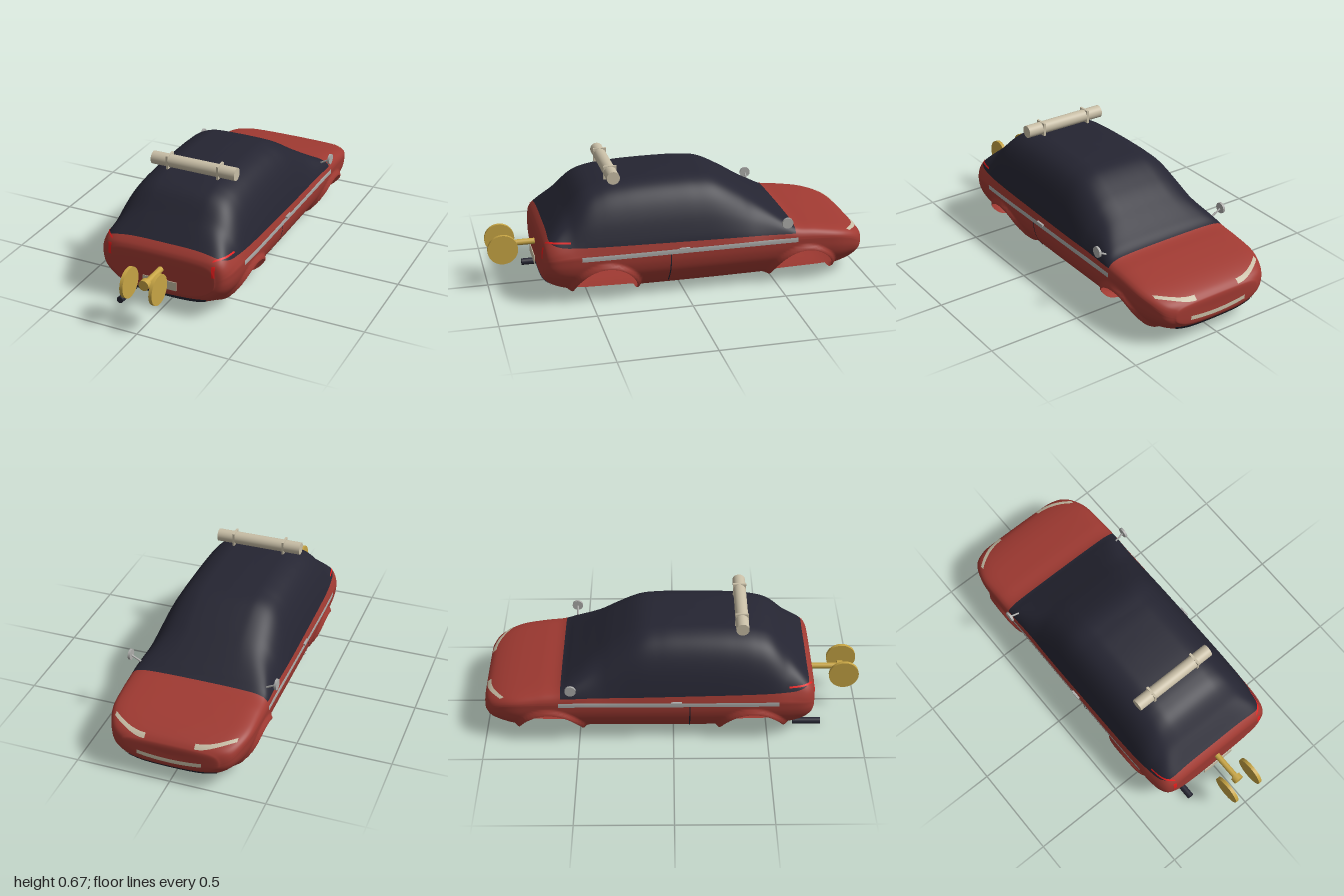
import * as THREE from 'three';

const mat = (name, color, side = THREE.FrontSide) => {
  const m = new THREE.MeshStandardMaterial({ color, side });
  m.name = name;
  return m;
};
const V = (x, y, z = 0) => new THREE.Vector3(x, y, z);
const spline = (pts) => new THREE.CatmullRomCurve3(pts, false, 'catmullrom', 0.5);
const smooth = THREE.MathUtils.smoothstep;

// Stations along the car, nose to tail: z, half width, bottom, waist, top
const STATIONS = [
  [-1, 0, 0.17, 0.17, 0.17], [-1, 0.22, 0.12, 0.17, 0.215], [-0.99, 0.27, 0.095, 0.18, 0.235],
  [-0.96, 0.315, 0.065, 0.2, 0.257], [-0.9, 0.347, 0.035, 0.23, 0.28], [-0.82, 0.368, 0.016, 0.25, 0.3],
  [-0.7, 0.374, 0.012, 0.258, 0.322], [-0.6, 0.376, 0.01, 0.262, 0.337], [-0.53, 0.376, 0.008, 0.265, 0.378],
  [-0.42, 0.376, 0.006, 0.268, 0.452], [-0.31, 0.376, 0.005, 0.27, 0.525], [-0.18, 0.376, 0.004, 0.27, 0.592],
  [-0.06, 0.376, 0.004, 0.27, 0.608], [0.06, 0.376, 0.004, 0.27, 0.611], [0.18, 0.376, 0.005, 0.27, 0.61],
  [0.3, 0.376, 0.007, 0.27, 0.605], [0.42, 0.375, 0.01, 0.27, 0.592], [0.515, 0.373, 0.013, 0.27, 0.557],
  [0.61, 0.37, 0.024, 0.268, 0.465], [0.68, 0.36, 0.05, 0.26, 0.395], [0.722, 0.338, 0.08, 0.25, 0.352],
  [0.738, 0.305, 0.105, 0.235, 0.325], [0.742, 0.26, 0.13, 0.22, 0.29], [0.742, 0, 0.21, 0.21, 0.21],
];
const widthTop = spline(STATIONS.map(([z, w, , , t]) => V(z, w, t)));
const lowerWaist = spline(STATIONS.map(([z, , b, m]) => V(z, b, m)));

// Normalised half sections: x over half width, height over waist distance
const section = (pairs) => spline(pairs.map(([x, y]) => V(x, y)));
const cabinSec = section([[0, 1], [0.27, 0.995], [0.45, 0.975], [0.62, 0.89], [0.75, 0.74], [0.86, 0.51], [0.95, 0.22], [1, 0]]);
const hoodSec = section([[0, 1], [0.35, 0.99], [0.62, 0.96], [0.8, 0.9], [0.91, 0.76], [0.965, 0.55], [0.992, 0.28], [1, 0]]);
const lowSec = section([[1, 0], [0.985, 0.25], [0.93, 0.48], [0.8, 0.73], [0.67, 0.86], [0.5, 0.95], [0.27, 0.99], [0, 1]]);

const ARCHES = [-0.652, 0.418], ARCH_Y = 0.03, ARCH_R = 0.17;
const archDist = (y, z) => Math.min(...ARCHES.map((c) => Math.hypot(z - c, y - ARCH_Y)));

// Smooth closed shell, with flares pushed out around the wheel arches
function buildShell() {
  const rows = (STATIONS.length - 1) * 8, ring = 160, half = ring / 2, pos = [], idx = [];
  for (let i = 0; i <= rows; i++) {
    const a = widthTop.getPoint(i / rows), b = lowerWaist.getPoint(i / rows);
    const blend = smooth(a.z, 0.32, 0.5);
    for (let j = 0; j < ring; j++) {
      const u = (j <= half ? j : ring - j) / half, s = j <= half ? 1 : -1;
      let x, y;
      if (u <= 0.5) {
        const p = hoodSec.getPoint(u * 2).lerp(cabinSec.getPoint(u * 2), blend);
        x = p.x; y = b.z + (a.z - b.z) * p.y;
      } else {
        const p = lowSec.getPoint(u * 2 - 1);
        x = p.x; y = b.z - (b.z - b.y) * p.y;
      }
      pos.push(s * x * a.y, y, a.x);
      if (i < rows) {
        const p = i * ring + j, q = i * ring + (j + 1) % ring;
        idx.push(p, p + ring, q, q, p + ring, q + ring);
      }
    }
  }
  const g = new THREE.BufferGeometry();
  g.setAttribute('position', new THREE.Float32BufferAttribute(pos, 3));
  g.setIndex(idx);
  g.computeVertexNormals();
  const P = g.attributes.position, N = g.attributes.normal;
  for (let k = 0; k < P.count; k++) {
    const x = P.getX(k), y = P.getY(k), z = P.getZ(k);
    const d = 0.018 * (1 - smooth(archDist(y, z), 0.178, 0.198)) * smooth(Math.abs(x), 0.18, 0.27);
    if (d > 0) P.setXYZ(k, x + N.getX(k) * d, y + N.getY(k) * d, z);
  }
  g.computeVertexNormals();
  return g;
}

// Part of the shell where every rule is >= 0, lifted along its normals
function cut(shell, rules, lift = 0) {
  const P = shell.attributes.position, N = shell.attributes.normal, I = shell.index, pos = [], nor = [];
  const corner = (k) => [P.getX(k), P.getY(k), P.getZ(k), N.getX(k), N.getY(k), N.getZ(k)];
  for (let t = 0; t < I.count; t += 3) {
    let poly = [0, 1, 2].map((k) => corner(I.getX(t + k)));
    for (const f of rules) {
      const out = [];
      poly.forEach((a, k) => {
        const b = poly[(k + 1) % poly.length];
        const fa = f(a[0], a[1], a[2]), fb = f(b[0], b[1], b[2]);
        if (fa >= 0) out.push(a);
        if (fa >= 0 !== fb >= 0) out.push(a.map((v, n) => v + (b[n] - v) * fa / (fa - fb)));
      });
      poly = out;
      if (poly.length < 3) break;
    }
    for (let k = 1; k < poly.length - 1; k++) {
      for (const v of [poly[0], poly[k], poly[k + 1]]) {
        pos.push(v[0] + v[3] * lift, v[1] + v[4] * lift, v[2] + v[5] * lift);
        nor.push(v[3], v[4], v[5]);
      }
    }
  }
  const g = new THREE.BufferGeometry();
  g.setAttribute('position', new THREE.Float32BufferAttribute(pos, 3));
  g.setAttribute('normal', new THREE.Float32BufferAttribute(nor, 3));
  return g;
}

export function createModel() {
  const car = new THREE.Group();
  car.name = 'car';
  const red = mat('bodyRed', 0xa03a32, THREE.DoubleSide), dark = mat('darkGlass', 0x252532, THREE.DoubleSide);
  const tan = mat('paleTan', 0xc8bea6), chrome = mat('chrome', 0xacacaa);
  const gold = mat('gold', 0xc6a444), lamp = mat('tailRed', 0xe81c1c);
  const add = (name, geo, m, x = 0, y = 0, z = 0) => {
    const mesh = new THREE.Mesh(geo, m);
    mesh.name = name;
    mesh.position.set(x, y, z);
    car.add(mesh);
    return mesh;
  };
  const shell = buildShell();
  const abs = Math.abs;

  // Body and glasshouse, divided at the beltline
  const belt = (x, z) => 0.309 + 0.022 * z + smooth(z, 0.6, 0.7) * 0.045 * Math.max(0, 1 - (x / 0.36) ** 4);
  const glass = (x, y, z) => Math.min(y - belt(x, z), z + 0.59);
  const hole = (x, y, z) => Math.min(ARCH_R - archDist(y, z), y - 0.016, abs(x) - 0.19);
  add('body', cut(shell, [(x, y, z) => -glass(x, y, z), (x, y, z) => -hole(x, y, z)]), red);
  add('glasshouse', cut(shell, [glass]), dark);

  // Painted details that follow the shell
  const detail = (name, m, ...rules) => add(name, cut(shell, rules, 0.003), m);
  detail('sideStrip', chrome, (x) => abs(x) - 0.3, (x, y) => y - 0.25, (x, y) => 0.275 - y,
    (x, y, z) => z + 0.6, (x, y, z) => 0.55 - z);
  detail('doorSeam', dark, (x) => abs(x) - 0.3, (x, y) => y - 0.07, (x, y) => 0.25 - y,
    (x, y, z) => z - 0.082, (x, y, z) => 0.088 - z);
  detail('tailLampBar', lamp, (x) => abs(x) - 0.28, (x) => 0.298 - abs(x), (x, y) => y - 0.257,
    (x, y) => 0.317 - y, (x, y, z) => z - 0.6);
  const arc = (x) => 0.351 - 6 * (abs(x) - 0.322) ** 2;
  detail('tailLampTop', lamp, (x) => abs(x) - 0.28, (x) => 0.352 - abs(x), (x, y) => y - arc(x) + 0.008,
    (x, y) => arc(x) - y, (x, y, z) => z - 0.6);
  const brow = (x) => -0.992 + 0.085 * ((abs(x) - 0.13) / 0.19) ** 2;
  detail('headlamp', tan, (x) => abs(x) - 0.13, (x) => 0.32 - abs(x), (x, y) => y - 0.2,
    (x, y, z) => z - brow(x), (x, y, z) => brow(x) + 0.022 - z);
  detail('noseBar', tan, (x) => 0.17 - abs(x), (x, y) => y - 0.125 - 0.5 * x * x,
    (x, y) => 0.147 + 0.5 * x * x - y, (x, y, z) => -0.85 - z);
  detail('lowerGrille', dark, (x, y, z) => abs(z) - 0.6, (x, y) => 0.225 + (y - 0.08) * 0.6 - abs(x),
    (x, y) => y - 0.07 - 0.15 * x * x, (x, y) => 0.1 + 0.25 * x * x - y);

  // Mirrors, door handles and wind-up key discs on both sides
  const disc = (r, h) => new THREE.CylinderGeometry(r, r, h, 40);
  for (const s of [1, -1]) {
    add('mirror', disc(0.029, 0.012).rotateZ(Math.PI / 2), chrome, s * 0.395, 0.371, -0.532);
    const arm = new THREE.LineCurve3(V(s * 0.34, 0.338, -0.53), V(s * 0.392, 0.367, -0.532));
    add('mirrorArm', new THREE.TubeGeometry(arm, 1, 0.005, 10), chrome);
    add('doorHandle', new THREE.BoxGeometry(0.012, 0.01, 0.055), chrome, s * 0.379, 0.275, 0.015);
    add('keyDisc', disc(0.08, 0.018).rotateZ(Math.PI / 2), gold, s * 0.08, 0.235, 0.92);
    // Clamps holding the roof roll
    add('rollClamp', new THREE.BoxGeometry(0.012, 0.072, 0.07), tan, s * 0.142, 0.639, 0.356);
  }
  add('keyShaft', disc(0.016, 0.17).rotateX(Math.PI / 2), gold, 0, 0.235, 0.81);
  add('keyKnob', disc(0.028, 0.03).rotateX(Math.PI / 2), gold, 0, 0.235, 0.905);

  // Roof roll, rear plate and exhaust
  add('roofRoll', disc(0.034, 0.472).rotateZ(Math.PI / 2), tan, 0, 0.639, 0.356);
  add('rearPlate', new THREE.BoxGeometry(0.188, 0.048, 0.004), tan, 0, 0.164, 0.757);
  add('exhaust', disc(0.018, 0.15).rotateX(Math.PI / 2), dark, -0.213, 0.025, 0.717);
  return car;
}
